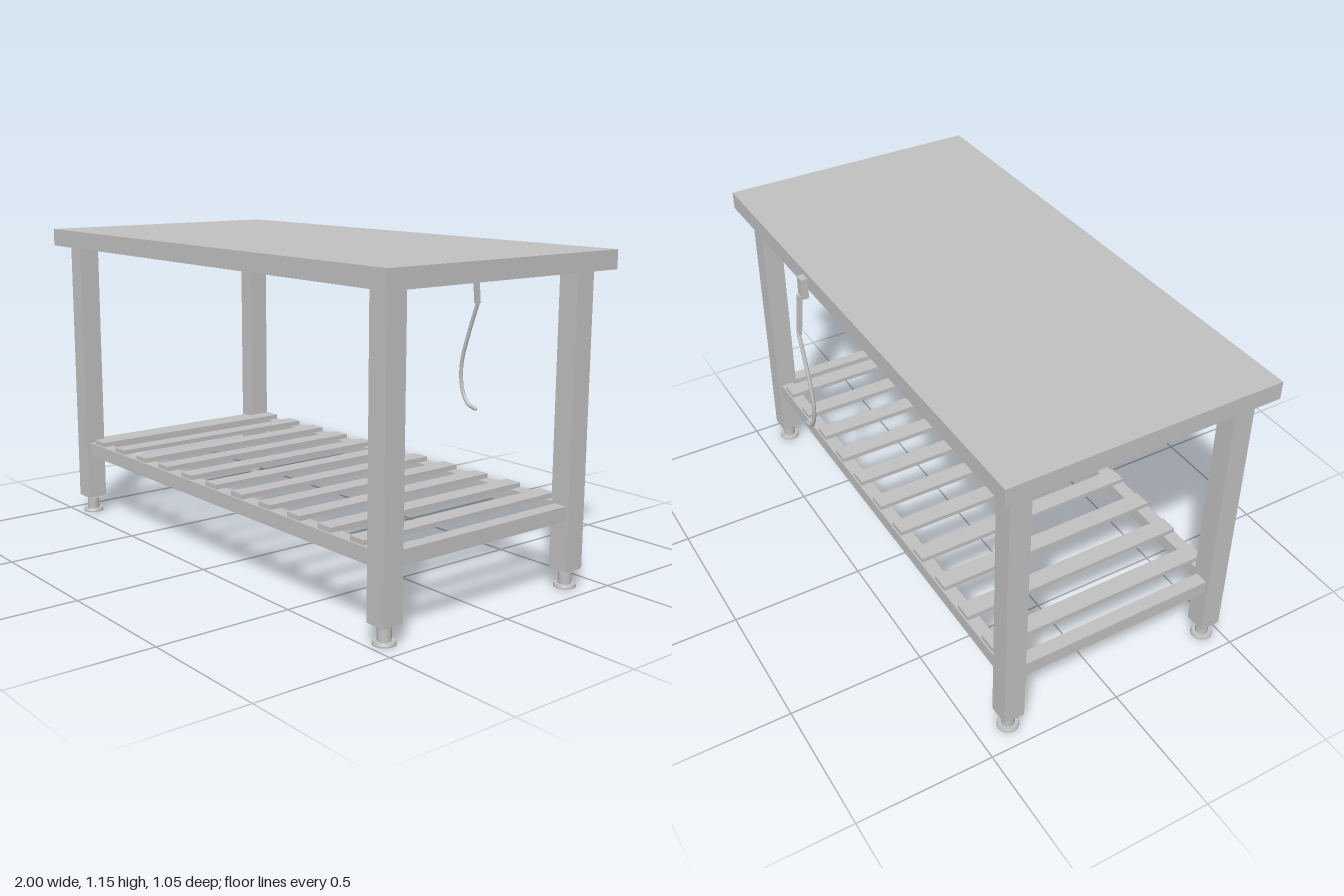
import * as THREE from 'three';

export function createModel() {
  const model = new THREE.Group();
  const steel = new THREE.MeshStandardMaterial({ color: 0xc0c0c0 });
  steel.name = 'brushed steel';

  function add(name, geometry, x, y, z, parent = model) {
    const mesh = new THREE.Mesh(geometry, steel);
    mesh.name = name;
    mesh.position.set(x, y, z);
    parent.add(mesh);
    return mesh;
  }
  // Box given by its min and max on each axis
  function box(name, [x0, x1], [y0, y1], [z0, z1], parent) {
    return add(name, new THREE.BoxGeometry(x1 - x0, y1 - y0, z1 - z0),
      (x0 + x1) / 2, (y0 + y1) / 2, (z0 + z1) / 2, parent);
  }

  const legX = 0.908, frontZ = 0.442, backZ = -0.383, half = 0.0385;

  box('tableTop', [-1, 1], [1.09, 1.155], [-0.472, 0.527]);

  // Legs with adjustable feet
  for (const x of [-legX, legX]) {
    for (const z of [frontZ, backZ]) {
      box('leg', [x - half, x + half], [0.065, 1.09], [z - half, z + half]);
      const foot = new THREE.Group();
      foot.name = 'foot';
      foot.position.set(x, 0, z);
      add('footPad', new THREE.CylinderGeometry(0.039, 0.039, 0.005, 32), 0, 0.0025, 0, foot);
      add('footCollar', new THREE.CylinderGeometry(0.035, 0.038, 0.007, 32), 0, 0.0085, 0, foot);
      add('footStem', new THREE.CylinderGeometry(0.023, 0.023, 0.044, 32), 0, 0.034, 0, foot);
      model.add(foot);
    }
  }

  // Lower shelf frame
  const rail = 0.025, railY = [0.243, 0.295];
  for (const z of [frontZ, backZ])
    box('longRail', [-legX + half, legX - half], railY, [z - rail, z + rail]);
  for (const x of [-legX, legX])
    box('endRail', [x - rail, x + rail], railY, [backZ + half, frontZ - half]);

  // Shelf slats
  for (let i = -5; i <= 5; i++) {
    const x = i * 0.16;
    box('slat', [x - 0.033, x + 0.033], [0.296, 0.313], [backZ - 0.02, frontZ + 0.02]);
  }

  // Power lead on the back edge
  const lead = new THREE.Group();
  lead.name = 'powerLead';
  model.add(lead);
  box('socketBlock', [0.313, 0.349], [1.056, 1.135], [-0.497, -0.472], lead);
  const plug = add('plugGrip', new THREE.BoxGeometry(0.021, 0.157, 0.013), 0.332, 0.987, -0.507, lead);
  plug.rotation.x = 0.1;
  const path = new THREE.CatmullRomCurve3([
    [0.332, 0.912], [0.288, 0.79], [0.256, 0.68], [0.254, 0.61],
    [0.268, 0.555], [0.295, 0.52], [0.332, 0.508],
  ].map(([x, y]) => new THREE.Vector3(x, y, -0.517)));
  add('cable', new THREE.TubeGeometry(path, 48, 0.0075, 12), 0, 0, 0, lead);
  // Cable ends
  for (const t of [0, 1]) {
    const p = path.getPointAt(t);
    add('cableEnd', new THREE.SphereGeometry(0.0075, 12, 8), p.x, p.y, p.z, lead);
  }

  return model;
}
